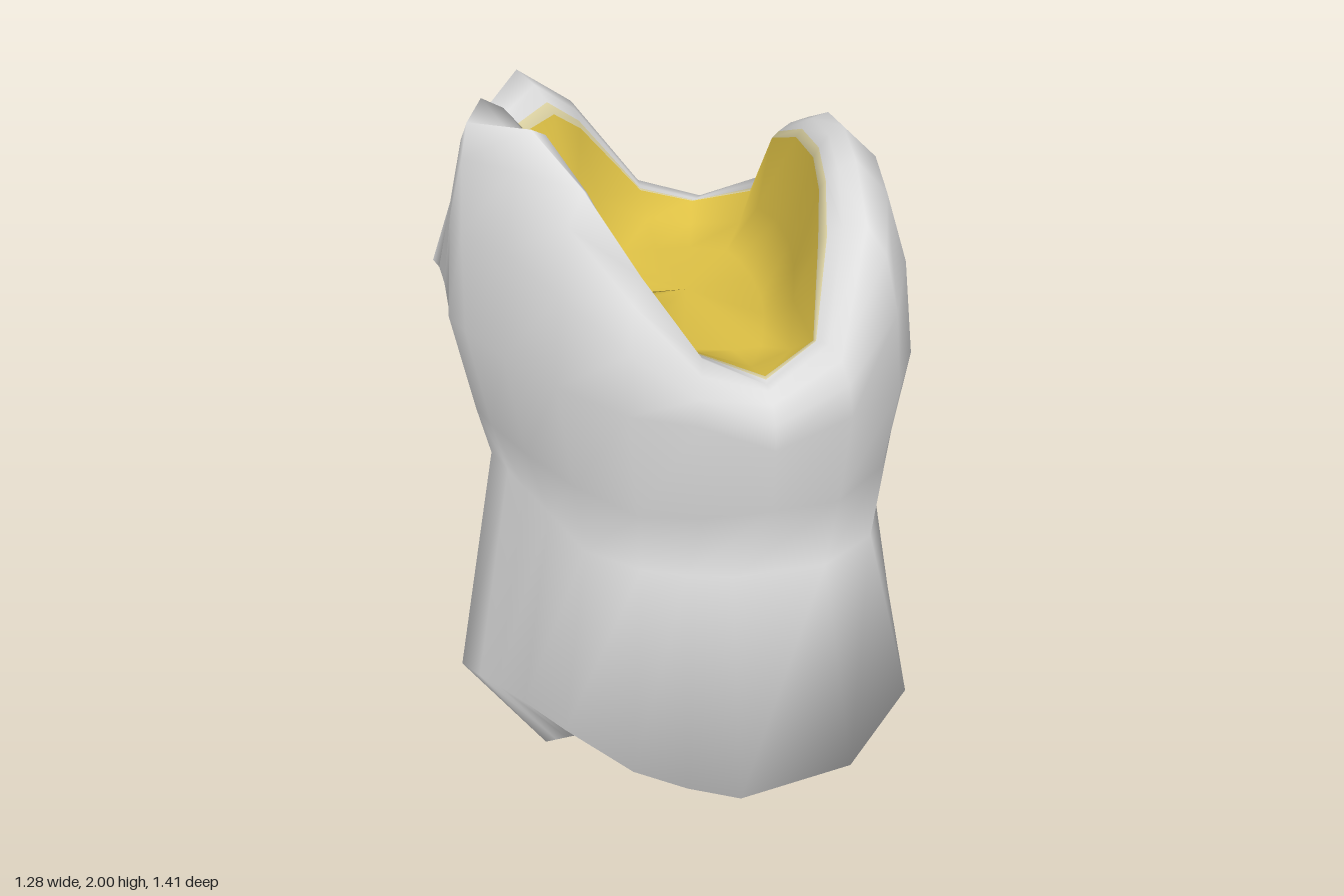
import * as THREE from 'three';

// Columns run round the body from the front over +x, the back and -x.
// Crest of the uneven rim: x, y, z
const RIM = [
  [.16, 1.43, .5], [.31, 1.53, .47], [.42, 1.78, .34], [.43, 1.87, .15], [.43, 1.9, 0], [.43, 1.87, -.18], [.42, 1.78, -.38],
  [.33, 1.53, -.57], [.15, 1.47, -.59], [-.03, 1.52, -.61], [-.22, 1.78, -.59], [-.37, 1.89, -.56], [-.48, 1.83, -.38],
  [-.57, 1.64, -.2], [-.63, 1.57, -.05], [-.48, 1.98, -.11], [-.52, 1.98, .05], [-.37, 2, .17], [-.26, 1.9, .32],
  [-.14, 1.72, .42], [0, 1.52, .48]];
// Widest line of the shoulder: x, z
const SHOULDER = [
  [.17, .57], [.36, .55], [.51, .42], [.59, .22], [.61, .02], [.58, -.2], [.49, -.42], [.36, -.57], [.16, -.61], [-.04, -.63],
  [-.23, -.63], [-.43, -.6], [-.56, -.48], [-.59, -.25], [-.6, -.04], [-.6, .04], [-.56, .12], [-.47, .26], [-.35, .41],
  [-.19, .55], [-.02, .58]];
// Widest line of the base: x, y, z
const BASE = [
  [.08, .3, .705], [.38, .36, .68], [.55, .5, .56], [.6, .4, .3], [.64, .28, .03], [.58, .31, -.27], [.51, .35, -.55],
  [.34, .28, -.66], [.17, .27, -.69], [.01, .26, -.705], [-.16, .27, -.68], [-.32, .29, -.65], [-.53, .35, -.49],
  [-.59, .31, -.25], [-.64, .27, 0], [-.59, .3, .1], [-.54, .34, .2], [-.47, .38, .33], [-.37, .44, .53],
  [-.2, .37, .64], [-.06, .33, .68]];
// Upper edge of the coloured hollow: x, z
const INNER = [
  [.16, .45], [.28, .43], [.31, .3], [.34, .15], [.355, 0], [.35, -.2], [.32, -.38], [.28, -.48], [.12, -.54], [-.03, -.545],
  [-.2, -.52], [-.28, -.41], [-.4, -.36], [-.49, -.24], [-.53, -.1], [-.37, -.085], [-.34, 0], [-.3, .12], [-.24, .25],
  [-.17, .34], [-.04, .41]];

const N = RIM.length;
const mix = THREE.MathUtils.lerp;
const ring = f => RIM.map((_, c) => f(c));

// Keel of the underside, running slightly askew from side to side
const keel = c => {
  const x = BASE[c][0] * .64;
  return [x, Math.abs(x) * .16, -.36 * x];
};
// Waist rises towards the back
const waist = c => {
  const z = BASE[c][2] * .74;
  return [BASE[c][0] * .82 + .012, 1 - .2 * z, z];
};
const chest = c => [SHOULDER[c][0] * .93 + .012, 1.17 - .12 * SHOULDER[c][1], SHOULDER[c][1] * .94];
// Outer wall between shoulder (0) and rim (1)
const wall = (ty, txz) => ring(c => [
  mix(SHOULDER[c][0], RIM[c][0], txz),
  mix(Math.min(1.4 - .08 * SHOULDER[c][0], RIM[c][1] - .13), RIM[c][1], ty),
  mix(SHOULDER[c][1], RIM[c][2], txz)]);
// Lip between rim (0) and edge of the hollow (1)
const lip = (c, t) => [
  mix(RIM[c][0], INNER[c][0], t),
  RIM[c][1] - t * t * .2 * (RIM[c][1] - 1.5),
  mix(RIM[c][2], INNER[c][1], t)];
// Hollow: plan scale s, and depth k from its edge (0) to its floor (1)
const hollow = (s, k) => ring(c => {
  const [x, y, z] = lip(c, 1);
  return [mix(.03, x, s), mix(y, 1.42, k), mix(-.03, z, s)];
});

export function createModel() {
  const white = new THREE.MeshStandardMaterial({ color: 0xdedede });
  white.name = 'shell white';
  const pale = new THREE.MeshStandardMaterial({ color: 0xe0d6a6 });
  pale.name = 'pale yellow';
  const yellow = new THREE.MeshStandardMaterial({ color: 0xdec145 });
  yellow.name = 'hollow yellow';

  // Cross-sections from the keel, up the outside, over the rim and into the hollow
  const rings = [
    ring(keel),
    BASE,
    ring(waist),
    ring(chest),
    wall(0, 0),
    wall(.5, .18),
    wall(.85, .52),
    wall(1, 1),
    ring(c => lip(c, .5)),
    ring(c => lip(c, .82)),
    ring(c => lip(c, 1)),
    hollow(.84, .6),
    hollow(.62, 1),
    [[.03, 1.45, -.03]],
  ];

  const starts = [];
  const positions = [];
  for (const r of rings) {
    starts.push(positions.length / 3);
    r.forEach(p => positions.push(...p));
  }
  const at = (r, c) => starts[r] + (rings[r].length === 1 ? 0 : c % N);

  // Triangles between two ring numbers
  const band = (from, to) => {
    const index = [];
    for (let r = from; r < to; r++) {
      for (let c = 0; c < N; c++) {
        const a = at(r, c), b = at(r, c + 1), d = at(r + 1, c), e = at(r + 1, c + 1);
        index.push(a, b, e);
        if (d !== e) index.push(a, e, d);
      }
    }
    return index;
  };

  // Shared normals keep the shading smooth across the colours
  const surface = new THREE.BufferGeometry();
  surface.setAttribute('position', new THREE.Float32BufferAttribute(positions, 3));
  surface.setIndex(band(0, rings.length - 1));
  surface.computeVertexNormals();

  const group = new THREE.Group();
  group.name = 'cuspedBody';
  const add = (name, material, from, to) => {
    const geometry = surface.clone();
    geometry.setIndex(band(from, to));
    const mesh = new THREE.Mesh(geometry, material);
    mesh.name = name;
    group.add(mesh);
  };
  add('outerShell', white, 0, 9);
  add('hollowEdge', pale, 9, 10);
  add('hollow', yellow, 10, rings.length - 1);
  return group;
}
